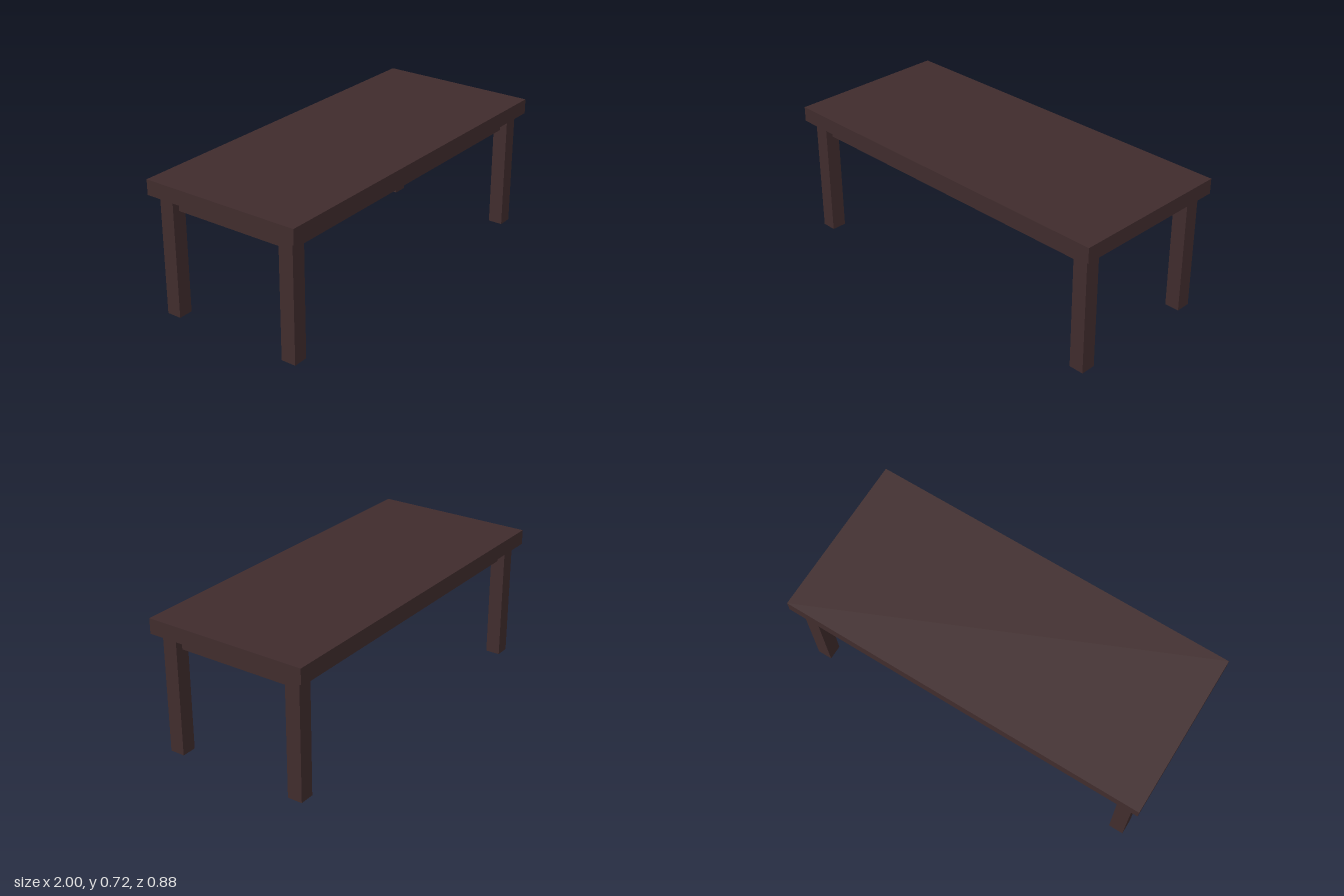
import * as THREE from 'three';

export function createModel() {
  const wood = new THREE.MeshStandardMaterial({ color: 0x402c2d });
  wood.name = 'dark wood';
  const black = new THREE.MeshStandardMaterial({ color: 0x222222 });
  black.name = 'black underside';

  const model = new THREE.Group();
  model.name = 'table';

  const box = (name, size, position, material = wood) => {
    const mesh = new THREE.Mesh(new THREE.BoxGeometry(...size), material);
    mesh.name = name;
    mesh.position.set(...position);
    model.add(mesh);
  };

  // Tabletop, with a black bottom face
  box('tabletop', [2, 0.08, 0.88], [0, 0.68, 0], [wood, wood, wood, black, wood, wood]);

  // Four square legs
  for (const [xName, x] of [['Left', 1], ['Right', -1]]) {
    for (const [zName, z] of [['front', 1], ['back', -1]]) {
      box(`${zName}${xName}Leg`, [0.08, 0.64, 0.08], [x * 0.92, 0.32, z * 0.36]);
    }
  }

  // Aprons between the legs, set back from the legs' outer faces
  for (const s of [1, -1]) {
    box(s > 0 ? 'frontApron' : 'backApron', [1.76, 0.08, 0.04], [0, 0.6, s * 0.34]);
    box(s > 0 ? 'leftApron' : 'rightApron', [0.04, 0.08, 0.64], [s * 0.9, 0.6, 0]);
  }

  return model;
}
